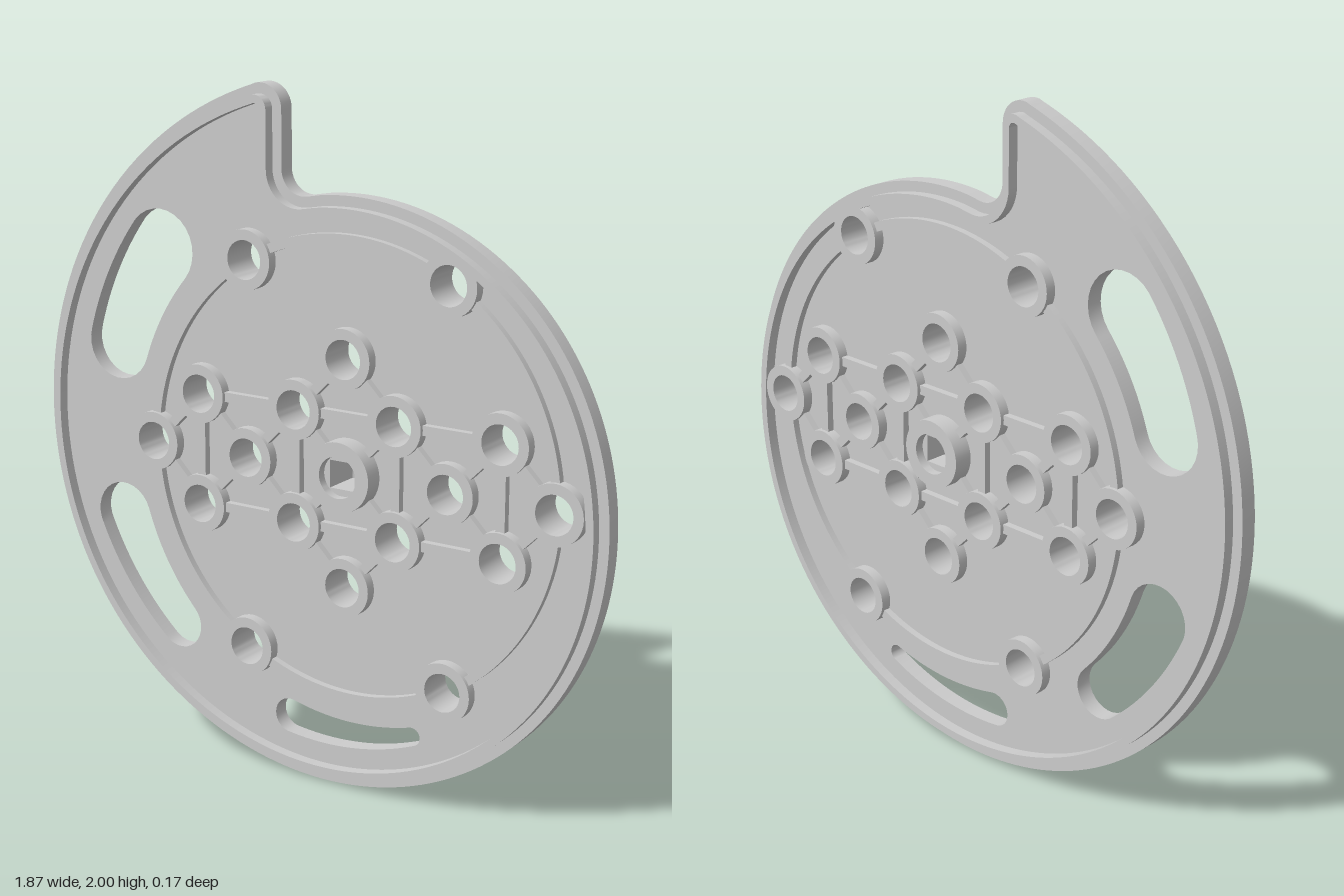
import * as THREE from 'three';
import { toCreasedNormals } from 'three/addons/utils/BufferGeometryUtils.js';

const CX = 0.132, CY = 0.943;      // hub centre
const PLATE = 0.025, RIB = 0.046, RIM = 0.057, HUB = 0.083; // half thicknesses
const HOLE = 0.056, BOSS = 0.086, RING = 0.657;
const material = new THREE.MeshStandardMaterial({ color: 0xcccccc });
const rad = THREE.MathUtils.degToRad;
const V = (x, y) => new THREE.Vector2(x, y);
const polar = (r, a, x = CX, y = CY) => V(x + r * Math.cos(a), y + r * Math.sin(a));

// points along an arc, angles in radians
function arc(r, a0, a1, n, x = CX, y = CY) {
  return Array.from({ length: n + 1 }, (_, i) => polar(r, a0 + (a1 - a0) * i / n, x, y));
}

// flat shape extruded evenly to both sides of z = 0; holes run counter-clockwise
function slab(name, points, holes, half) {
  const shape = new THREE.Shape(points);
  shape.holes = holes.map(h => new THREE.Path(h));
  const geo = new THREE.ExtrudeGeometry(shape, { depth: half * 2, bevelEnabled: false, curveSegments: 1 });
  geo.translate(0, 0, -half);
  const mesh = new THREE.Mesh(toCreasedNormals(geo, rad(30)), material);
  mesh.name = name;
  return mesh;
}

// snail outline, clockwise: growing spiral, rounded tip, straight step, fillet
function makeOutline() {
  const radii = [0.772, 0.776, 0.803, 0.875, 0.956, 1.033, 1.08, 1.098]; // every 50 degrees
  const growth = new THREE.SplineCurve(radii.map((r, i) => V(-7 + 50 * i, r)));
  return [
    ...growth.getPoints(180).map(p => polar(p.y, rad(90 - p.x))),
    ...arc(0.07, rad(102), 0, 12, -0.16, 1.93),
    ...arc(0.07, rad(180), rad(278), 12, -0.02, 1.77),
  ];
}

// move each outline point inward along its normal
function inset(points, d) {
  const n = points.length;
  return points.map((p, i) => {
    const t = points[(i + 1) % n].clone().sub(points[(i + n - 1) % n]).normalize();
    return V(p.x + t.y * d, p.y - t.x * d);
  });
}

// curved tapered slot with round ends; all slots share the same inner radius
function slot(a0, a1, w0, w1) {
  const inner = 0.74, n = 20, outerEdge = [], innerEdge = [];
  for (let i = 0; i <= n; i++) {
    const k = i / n, a = rad(a0 + (a1 - a0) * k), w = w0 + (w1 - w0) * k;
    outerEdge.push(polar(inner + 2 * w, a));
    innerEdge.unshift(polar(inner, a));
  }
  const cap = (a, w, start) => {
    const c = polar(inner + w, a);
    return arc(w, start, start + Math.PI, 14, c.x, c.y).slice(1, -1);
  };
  return [...outerEdge, ...cap(rad(a1), w1, rad(a1)),
    ...innerEdge, ...cap(rad(a0), w0, rad(a0) + Math.PI)];
}

const circle = (r, x, y) => arc(r, 0, Math.PI * 2, 40, x, y).slice(0, -1);

function rib(a, b) {
  const d = b.clone().sub(a);
  const mesh = new THREE.Mesh(new THREE.BoxGeometry(d.length() - 0.15, 0.028, RIB * 2), material);
  mesh.position.set((a.x + b.x) / 2, (a.y + b.y) / 2, 0);
  mesh.rotation.z = Math.atan2(d.y, d.x);
  mesh.name = 'rib';
  return mesh;
}

export function createModel() {
  const model = new THREE.Group();
  model.name = 'snailCamPlate';
  const outline = makeOutline();

  // boss positions on the inner lattice, in steps of s from the hub
  const s = 0.164;
  const lattice = [];
  for (const y of [-1, 1]) {
    for (const x of [-3, -1, 1, 3]) lattice.push(V(CX + x * s, CY + y * s));
    lattice.push(V(CX + 2 * y * s, CY), V(CX, CY + 2 * y * s));
  }
  // bosses on the circular rib
  const outer = Array.from({ length: 6 }, (_, i) => polar(RING, i * Math.PI / 3));
  const bosses = [...lattice, ...outer];

  // plate with slots, boss holes and a hole for the hub
  const slots = [slot(139, 161.5, 0.117, 0.107), slot(197.7, 223.2, 0.096, 0.077), slot(255.6, 286.2, 0.052, 0.027)];
  model.add(slab('plate', outline,
    [circle(0.08, CX, CY), ...slots, ...bosses.map(p => circle(0.07, p.x, p.y))], PLATE));

  // raised rim following the outline
  model.add(slab('rim', inset(outline, 0.03), [inset(outline, 0.053).reverse()], RIM));

  // hub collar, its recessed core with the square shaft hole, and bosses
  const q = 0.04;
  const square = [V(CX - q, CY - q), V(CX + q, CY - q), V(CX + q, CY + q), V(CX - q, CY + q)];
  model.add(slab('hub', circle(0.101, CX, CY), [circle(0.06, CX, CY)], HUB));
  model.add(slab('hubCore', circle(0.062, CX, CY), [square], RIM));
  for (const p of bosses) {
    model.add(slab('boss', circle(BOSS, p.x, p.y), [circle(HOLE, p.x, p.y)], RIM));
  }

  // circular rib between the six outer bosses
  const gap = 0.075 / RING;
  for (let i = 0; i < 6; i++) {
    const a = i * Math.PI / 3 + gap, b = (i + 1) * Math.PI / 3 - gap;
    model.add(slab('ringRib', [...arc(0.671, a, b, 20), ...arc(0.644, b, a, 20)], [], RIB));
  }

  // straight ribs: diagonals, verticals and horizontals between neighbours
  const nodes = [...lattice, V(CX, CY), outer[0], outer[3]];
  nodes.forEach((a, i) => nodes.slice(i + 1).forEach(b => {
    const dx = Math.abs(a.x - b.x) / s, dy = Math.abs(a.y - b.y) / s;
    const onRow = Math.abs(Math.abs(a.y - CY) - s) < 0.01;
    const near = (u, v) => Math.abs(u - v) < 0.1;
    const diagonal = near(dx, 1) && near(dy, 1);
    const straight = onRow && ((near(dx, 2) && near(dy, 0)) || (near(dx, 0) && near(dy, 2)));
    if (diagonal || straight) model.add(rib(a, b));
  }));

  return model;
}
